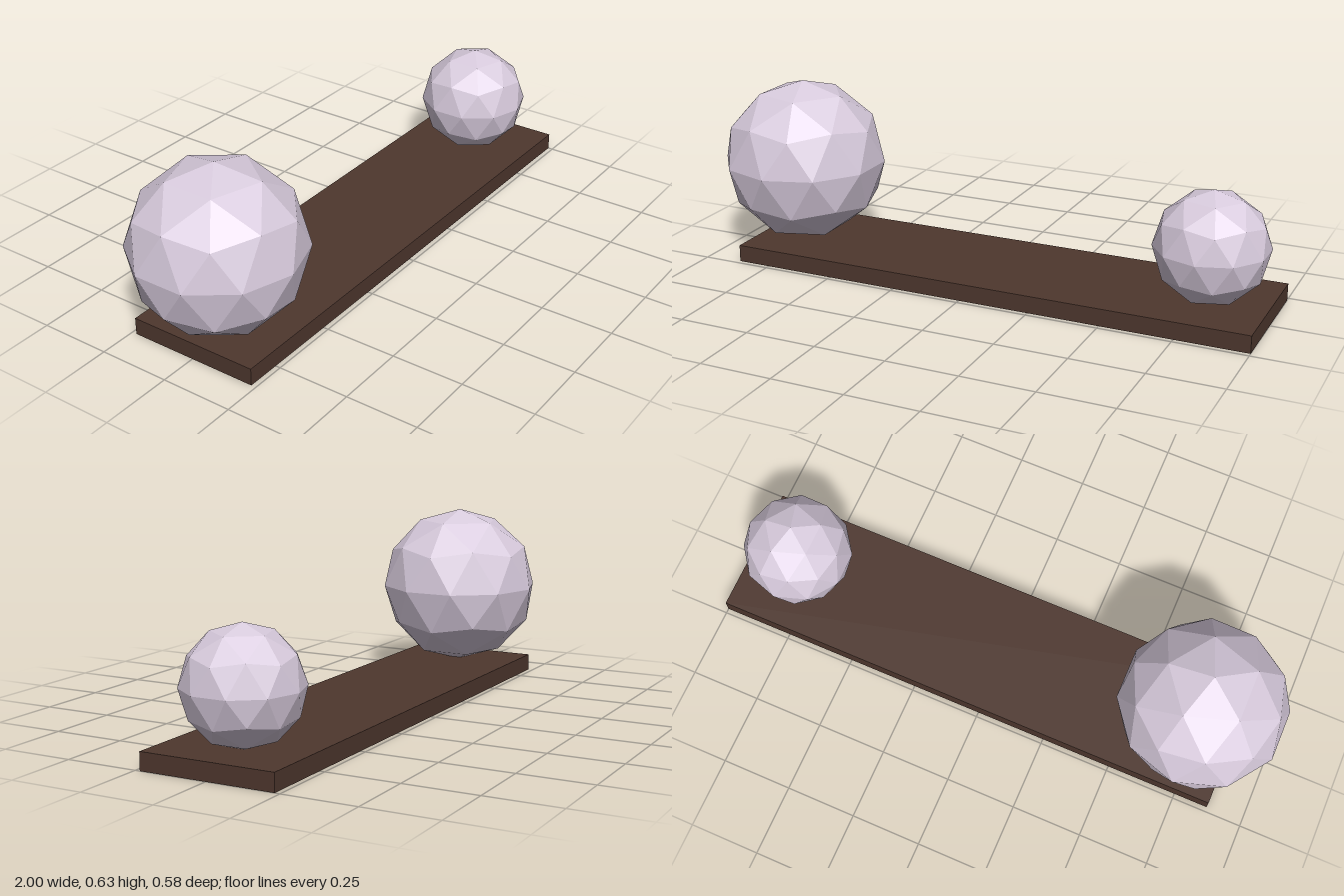
import * as THREE from 'three';

export function createModel() {
  const model = new THREE.Group();
  model.name = 'plankWithBoulders';

  const wood = new THREE.MeshStandardMaterial({ color: 0x4e372e });
  wood.name = 'darkWood';
  const stone = new THREE.MeshStandardMaterial({ color: 0xd8cbdd });
  stone.name = 'paleLilac';
  stone.flatShading = true;

  // Flat plank
  const plank = new THREE.Mesh(new THREE.BoxGeometry(1.87, 0.06, 0.466), wood);
  plank.name = 'plank';
  plank.position.set(0.065, 0.03, 0);
  model.add(plank);

  // Faceted ball, tilted so that one corner points straight up
  const tilt = -Math.atan(2 / (1 + Math.sqrt(5)));
  function addBall(name, radius, x, y) {
    const geometry = new THREE.IcosahedronGeometry(radius, 1).rotateZ(tilt);
    const ball = new THREE.Mesh(geometry, stone);
    ball.name = name;
    ball.position.set(x, y, 0);
    model.add(ball);
  }
  addBall('largeBall', 0.29, -0.724, 0.34);
  addBall('smallBall', 0.194, 0.796, 0.24);

  return model;
}
